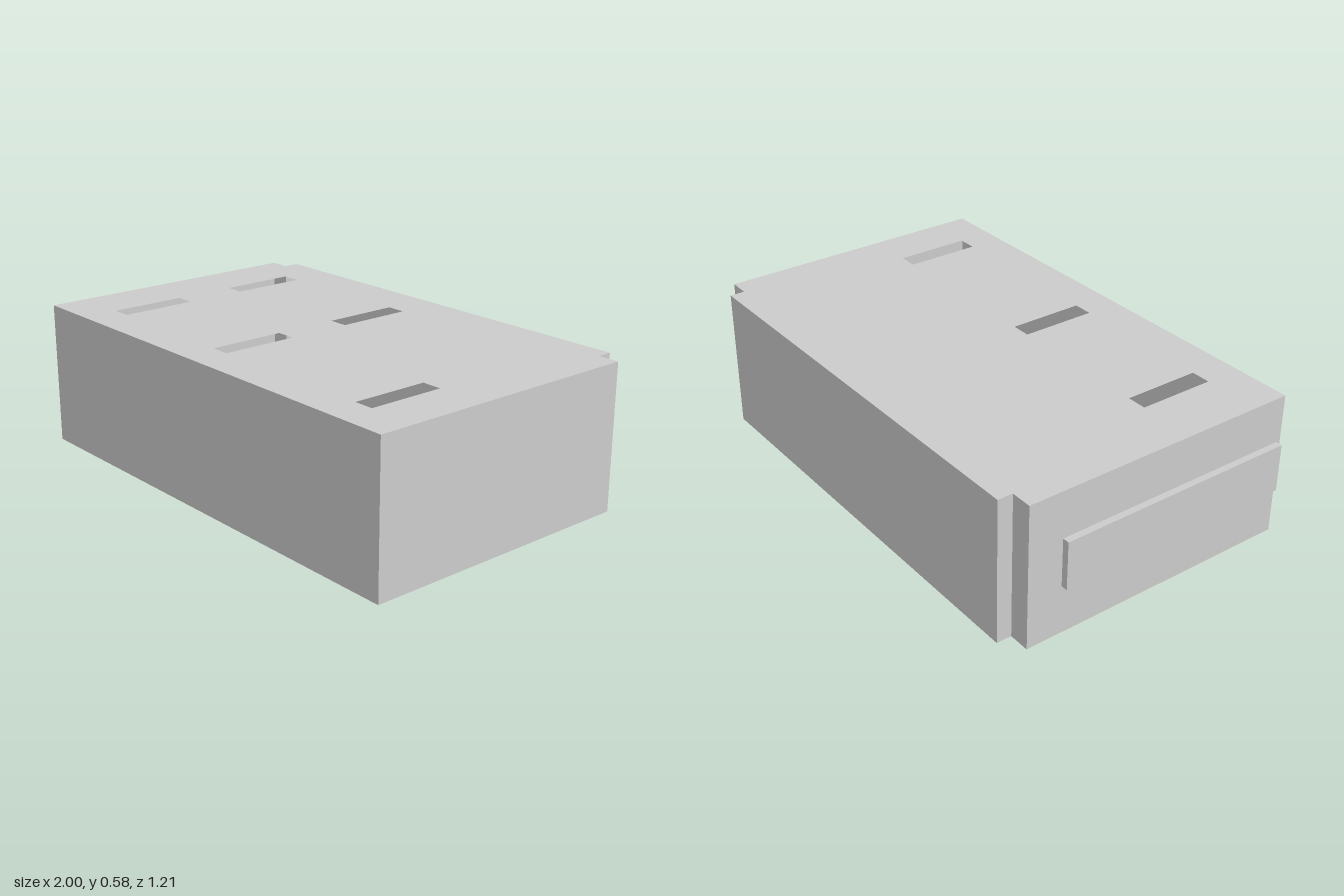
import * as THREE from 'three';

const HEIGHT = 0.583;
const material = new THREE.MeshStandardMaterial({ color: 0xcccccc, flatShading: true, side: THREE.DoubleSide });

// Footprint as [x, z], front edge first, with a notch in each back corner
const footprint = [
  [-0.973, 0.606], [1, 0.606], [1, -0.545], [0.914, -0.545],
  [0.914, -0.606], [-0.888, -0.606], [-0.888, -0.545], [-0.973, -0.545],
];

// Slots in the roof as [centre x, centre z]
const slots = [[-0.698, -0.265], [-0.024, -0.265], [-0.698, 0.302], [-0.024, 0.308], [0.762, 0.308]];
const SLOT_WIDTH = 0.08;
const SLOT_LENGTH = 0.31;

const toPoints = (list) => list.map(([x, z]) => new THREE.Vector2(x, z));

function addMesh(group, name, geometry) {
  const mesh = new THREE.Mesh(geometry, material);
  mesh.name = name;
  group.add(mesh);
  return mesh;
}

// Flat horizontal panel whose shape is drawn in x and z
function panel(holes) {
  const shape = new THREE.Shape(toPoints(footprint));
  for (const [x, z] of holes) {
    const w = SLOT_WIDTH / 2, l = SLOT_LENGTH / 2;
    shape.holes.push(new THREE.Path(toPoints([[x - w, z - l], [x + w, z - l], [x + w, z + l], [x - w, z + l]])));
  }
  return new THREE.ShapeGeometry(shape).rotateX(Math.PI / 2);
}

export function createModel() {
  const model = new THREE.Group();
  model.name = 'slottedBox';

  // Thin floor and slotted roof of the hollow body
  addMesh(model, 'floor', panel([]));
  addMesh(model, 'roof', panel(slots)).position.y = HEIGHT;

  // One thin wall along each footprint edge
  const walls = new THREE.Group();
  walls.name = 'walls';
  footprint.forEach(([ax, az], i) => {
    const [bx, bz] = footprint[(i + 1) % footprint.length];
    const wall = addMesh(walls, 'wall', new THREE.PlaneGeometry(Math.hypot(bx - ax, bz - az), HEIGHT));
    wall.position.set((ax + bx) / 2, HEIGHT / 2, (az + bz) / 2);
    wall.rotation.y = Math.atan2(az - bz, bx - ax);
  });
  model.add(walls);

  // Raised rail on the side
  addMesh(model, 'sideRail', new THREE.BoxGeometry(0.027, 0.195, 0.99)).position.set(-0.9865, 0.2975, 0.093);

  return model;
}
